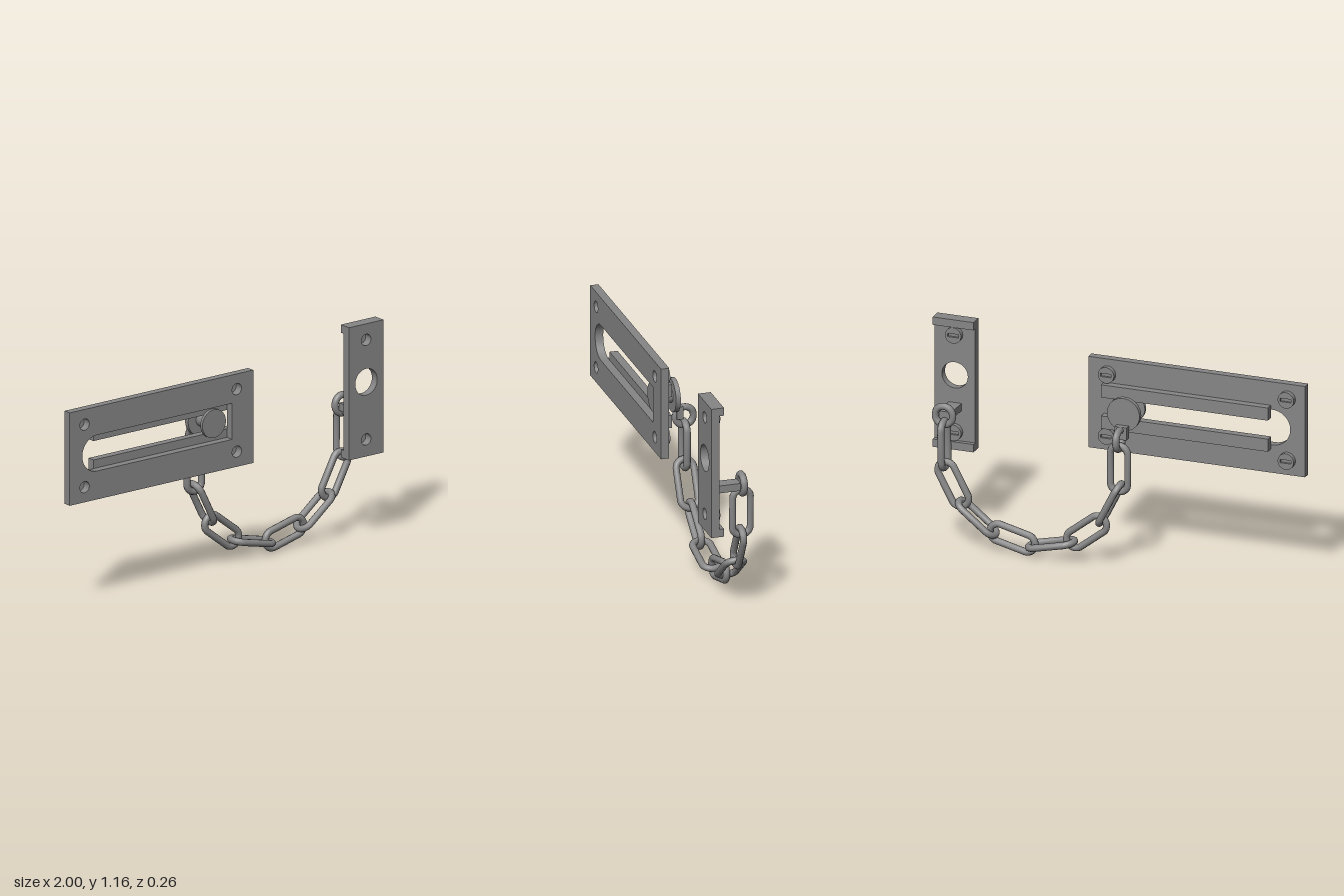
import * as THREE from 'three';

const steel = new THREE.MeshStandardMaterial({ color: 0x868686 });
steel.name = 'steel';

const BACK = 0.092, FRONT = 0.135; // plate faces in z
const CHAIN_Z = -0.06;

function add(parent, name, geometry, x = 0, y = 0, z = 0) {
  const mesh = new THREE.Mesh(geometry, steel);
  mesh.name = name;
  mesh.position.set(x, y, z);
  parent.add(mesh);
  return mesh;
}

// box given by its limits
function block(parent, name, x0, x1, y0, y1, z0, z1) {
  return add(parent, name, new THREE.BoxGeometry(x1 - x0, y1 - y0, z1 - z0),
    (x0 + x1) / 2, (y0 + y1) / 2, (z0 + z1) / 2);
}

// round part with its axis along z
function disc(parent, name, x, y, r, z0, z1) {
  const g = new THREE.CylinderGeometry(r, r, z1 - z0, 32).rotateX(Math.PI / 2);
  return add(parent, name, g, x, y, (z0 + z1) / 2);
}

function rectangle(x0, x1, y0, y1, Type = THREE.Shape) {
  return new Type([[x0, y0], [x1, y0], [x1, y1], [x0, y1]].map(p => new THREE.Vector2(...p)));
}

function circle(x, y, r) {
  return new THREE.Path().absarc(x, y, r, 0, Math.PI * 2, true);
}

function extrude(shape, depth) {
  return new THREE.ExtrudeGeometry(shape, { depth, bevelEnabled: false, curveSegments: 24 });
}

// slotted screw head on the back of a plate
function screw(parent, x, y) {
  const group = new THREE.Group();
  group.name = 'screw';
  parent.add(group);
  disc(group, 'screwBase', x, y, 0.043, 0.078, BACK);
  const rim = new THREE.Shape().absarc(0, 0, 0.043, 0, Math.PI * 2);
  rim.holes.push(rectangle(-0.029, 0.029, -0.009, 0.009, THREE.Path));
  add(group, 'slottedHead', extrude(rim, 0.012), x, y, 0.066);
}

// oval link: a torus pulled apart at its middle
function link(parent, name, x, y, angle, sideways, half = 0.0775) {
  const segments = 28;
  const g = new THREE.TorusGeometry(0.047, 0.018, 10, segments).rotateZ(Math.PI / segments);
  const p = g.attributes.position;
  for (let i = 0; i < p.count; i++) p.setY(i, p.getY(i) + Math.sign(p.getY(i)) * half);
  if (sideways) g.rotateY(Math.PI / 2);
  g.rotateZ(angle - Math.PI / 2);
  return add(parent, name, g, x, y, CHAIN_Z);
}

export function createModel() {
  const model = new THREE.Group();
  model.name = 'doorChain';

  // slide plate with long slot
  const slide = new THREE.Group();
  slide.name = 'slidePlate';
  model.add(slide);
  const plate = rectangle(-1, 0.17, 0.58, 1.07);
  const slot = new THREE.Path();
  slot.moveTo(0.035, 0.73);
  slot.lineTo(0.035, 0.92);
  slot.lineTo(-0.825, 0.92);
  slot.absarc(-0.825, 0.825, 0.095, Math.PI / 2, Math.PI * 1.5, false);
  slot.lineTo(0.035, 0.73);
  plate.holes.push(slot);
  const slideScrews = [-0.905, 0.065].flatMap(x => [0.66, 0.99].map(y => [x, y]));
  for (const [x, y] of slideScrews) {
    plate.holes.push(circle(x, y, 0.03));
    screw(slide, x, y);
  }
  add(slide, 'slottedPlate', extrude(plate, FRONT - BACK), 0, 0, BACK);
  block(slide, 'upperRail', -0.815, 0.085, 0.875, 0.943, 0.05, BACK);
  block(slide, 'lowerRail', -0.815, 0.085, 0.707, 0.775, 0.05, BACK);

  // sliding knob
  const knob = new THREE.Group();
  knob.name = 'knob';
  model.add(knob);
  disc(knob, 'frontDisc', -0.06, 0.825, 0.075, 0.093, 0.11);
  disc(knob, 'stem', -0.06, 0.825, 0.038, 0, 0.1);
  disc(knob, 'backDisc', -0.06, 0.825, 0.088, -0.015, 0.01);
  block(knob, 'chainTab', -0.09, -0.025, 0.7, 0.768, -0.045, -0.012);

  // anchor plate with end lips
  const anchor = new THREE.Group();
  anchor.name = 'anchorPlate';
  model.add(anchor);
  const keeper = rectangle(0.78, 1, 0.475, 1.175);
  keeper.holes.push(circle(0.89, 0.868, 0.07));
  for (const y of [0.565, 1.09]) {
    keeper.holes.push(circle(0.89, y, 0.03));
    screw(anchor, 0.89, y);
  }
  add(anchor, 'plate', extrude(keeper, FRONT - BACK), 0, 0, BACK);
  block(anchor, 'topLip', 0.78, 1, 1.133, 1.175, 0.068, BACK);
  block(anchor, 'bottomLip', 0.78, 1, 0.475, 0.517, 0.068, BACK);
  block(anchor, 'post', 0.855, 0.923, 0.68, 0.72, -0.045, BACK);

  // hanging chain, links alternately turned
  const chain = new THREE.Group();
  chain.name = 'chain';
  model.add(chain);
  link(chain, 'knobRing', -0.055, 0.705, Math.PI / 2, true, 0.002);
  const links = [ // x, y, angle in degrees
    [-0.055, 0.55, 90], [-0.008, 0.355, -63.5], [0.12, 0.185, -38], [0.31, 0.093, -13],
    [0.52, 0.096, 14], [0.71, 0.178, 38.5], [0.84, 0.342, 62], [0.888, 0.55, 89],
  ];
  links.forEach(([x, y, a], i) =>
    link(chain, 'chainLink', x, y, THREE.MathUtils.degToRad(a), i % 2 === 1));
  link(chain, 'anchorRing', 0.89, 0.705, Math.PI / 2, false, 0.002);

  return model;
}
